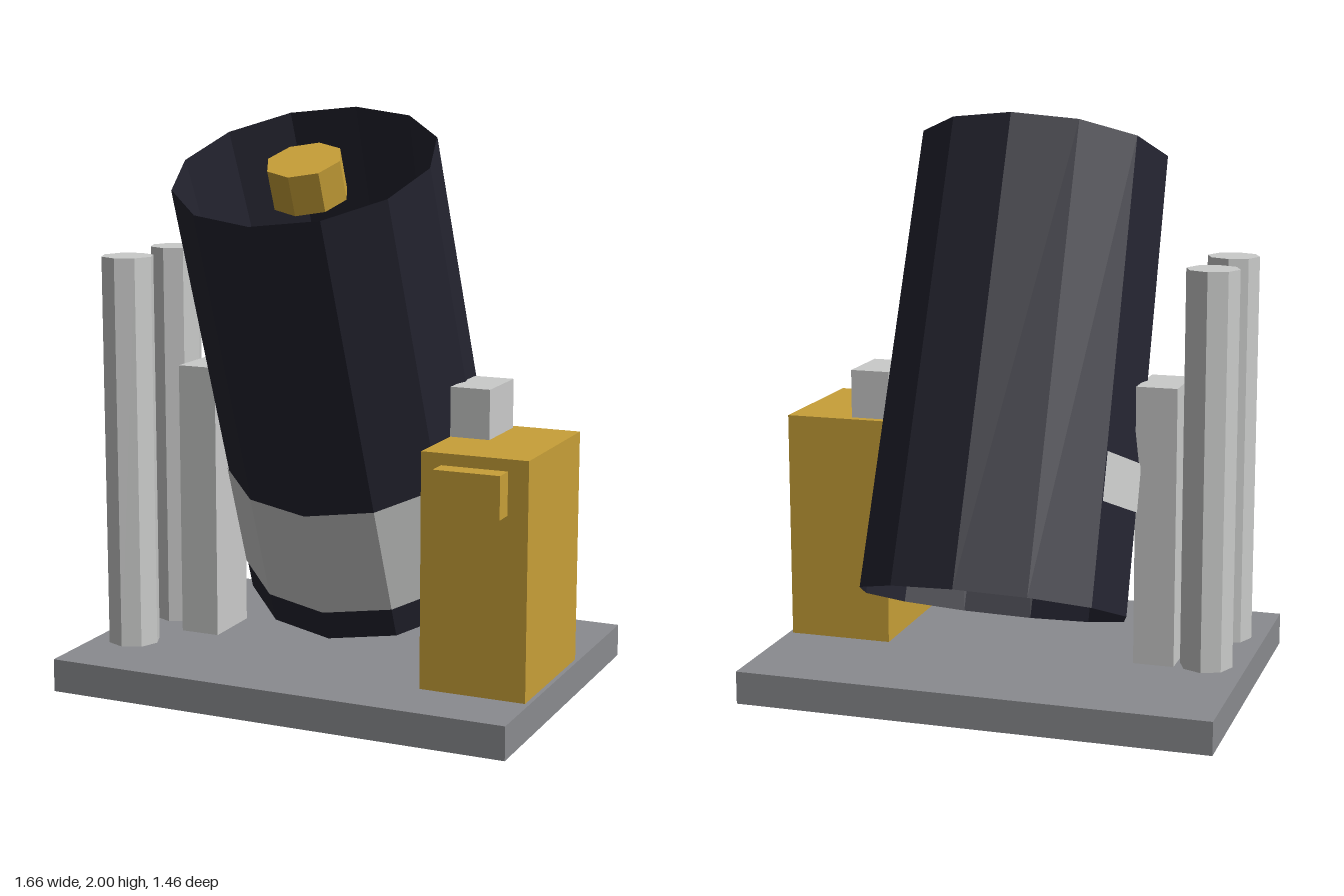
import * as THREE from 'three';

export function createModel() {
  const root = new THREE.Group();
  root.name = 'mortar';

  const mat = (name, color, side = THREE.FrontSide) => {
    const m = new THREE.MeshStandardMaterial({ color, flatShading: true, side });
    m.name = name;
    return m;
  };
  const dark = mat('dark steel', 0x242430, THREE.DoubleSide);
  const silver = mat('light grey', 0xcacbca);
  const grey = mat('base grey', 0x8a8b8f);
  const gold = mat('gold', 0xc8a038);

  const add = (parent, name, geometry, material, x = 0, y = 0, z = 0) => {
    const m = new THREE.Mesh(geometry, material);
    m.name = name;
    m.position.set(x, y, z);
    parent.add(m);
    return m;
  };
  // Box given by its minimum and maximum on each axis
  const box = (name, material, [x0, x1], [y0, y1], [z0, z1]) =>
    add(root, name, new THREE.BoxGeometry(x1 - x0, y1 - y0, z1 - z0), material,
      (x0 + x1) / 2, (y0 + y1) / 2, (z0 + z1) / 2);

  // Base, supports and control cabinet
  box('basePlate', grey, [-0.83, 0.83], [0, 0.115], [-0.59, 0.613]);
  box('rightSupport', silver, [-0.588, -0.445], [0.115, 1.09], [-0.102, 0.128]);
  box('leftSupport', silver, [0.445, 0.585], [0.92, 1.09], [-0.102, 0.128]);
  box('cabinet', gold, [0.445, 0.815], [0.115, 0.92], [-0.133, 0.385]);
  box('cabinetPanel', gold, [0.515, 0.745], [0.735, 0.88], [0.385, 0.458]);

  // Two upright eight-sided posts
  for (const z of [-0.045, 0.297]) {
    add(root, 'post', new THREE.CylinderGeometry(0.092, 0.092, 1.378, 8), silver, -0.69, 0.804, z);
  }

  // Tilted barrel, its group origin at the centre of the lower rim
  const L = 1.61, rBottom = 0.467, rTop = 0.445;
  const barrel = new THREE.Group();
  barrel.name = 'barrel';
  barrel.position.set(0, 0.341, -0.291);
  barrel.rotation.x = 0.39;
  root.add(barrel);
  add(barrel, 'barrelShell', new THREE.CylinderGeometry(rTop, rBottom, L, 12, 1, true), dark, 0, L / 2, 0);

  // Bore wall and its recessed floor
  const depth = 0.59;
  add(barrel, 'boreWall', new THREE.CylinderGeometry(rTop - 0.002, 0.41, depth, 12, 1, true), dark, 0, L - depth / 2, 0);
  const floor = add(barrel, 'boreFloor', new THREE.CircleGeometry(0.41, 12), dark, 0, L - depth, 0);
  floor.rotation.x = -Math.PI / 2;

  // Thin band round the front, its upper part one facet longer on each side
  const radiusAt = h => rBottom + (rTop - rBottom) * h / L + 0.004;
  for (const [h0, h1, facets] of [[0.115, 0.353, 6], [0.353, 0.52, 8]]) {
    const arc = facets * Math.PI / 6;
    add(barrel, 'frontBand',
      new THREE.CylinderGeometry(radiusAt(h1), radiusAt(h0), h1 - h0, facets, 1, true, -arc / 2, arc),
      silver, 0, (h0 + h1) / 2, 0);
  }

  // Round sitting in the muzzle
  add(barrel, 'muzzleRound', new THREE.CylinderGeometry(0.13, 0.13, 0.14, 8), gold, 0, L + 0.015 - 0.07, 0);

  return root;
}
